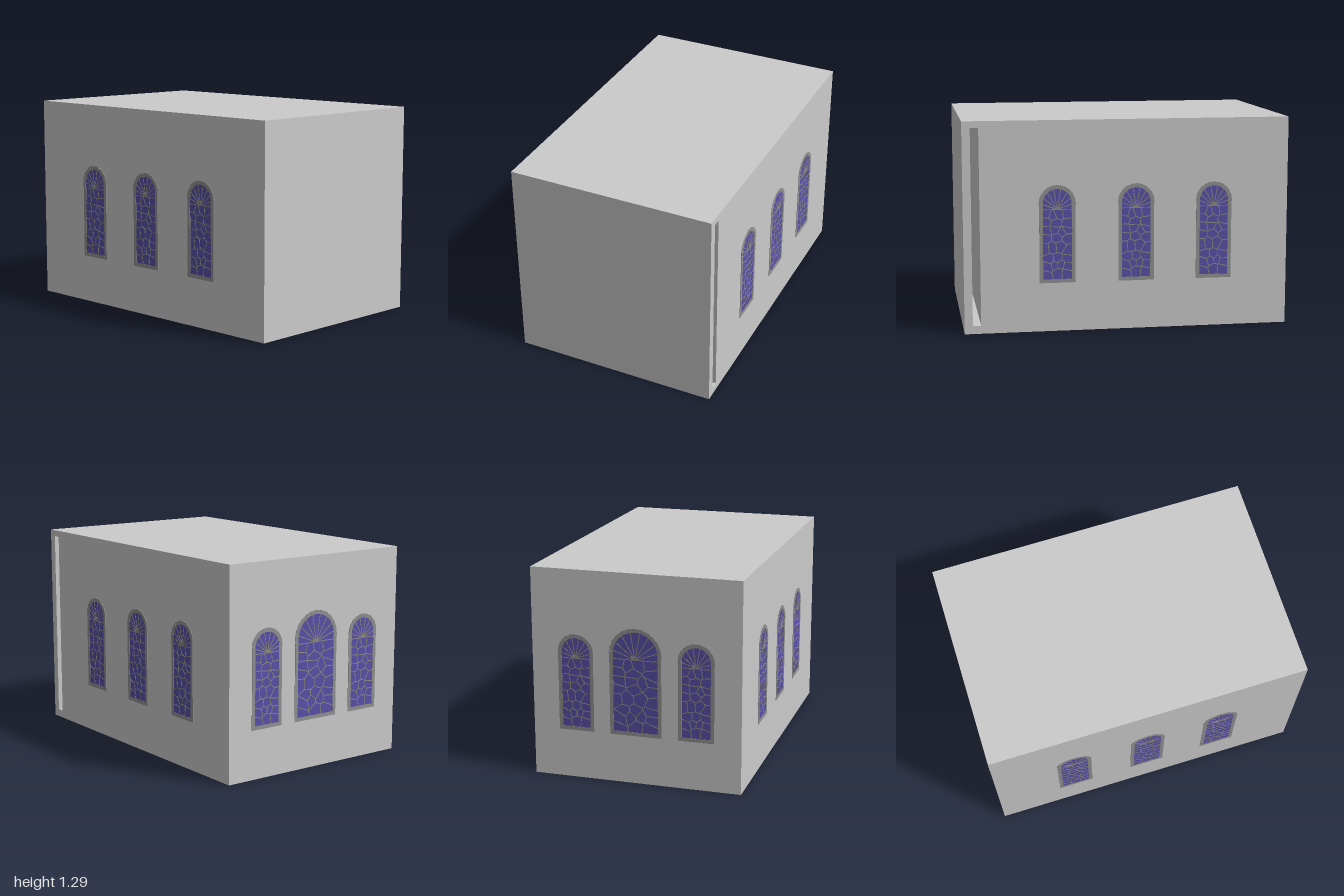
import * as THREE from 'three';

const H = 1.29, X = 0.646, BACK = -0.996, FRONT = 1;
const stone = new THREE.MeshStandardMaterial({ color: 0xcccccc });
const trim = new THREE.MeshStandardMaterial({ color: 0x929292 });
const lead = new THREE.MeshStandardMaterial({ color: 0x8e8e84 });
const glass = new THREE.MeshStandardMaterial({ color: 0x5a50a8 });

function add(parent, name, geometry, material, x = 0, y = 0, z = 0) {
  const mesh = new THREE.Mesh(geometry, material);
  mesh.name = name;
  mesh.position.set(x, y, z);
  parent.add(mesh);
  return mesh;
}

const toShape = pts => new THREE.Shape(pts.map(p => new THREE.Vector2(p[0], p[1])));
const extrude = (shape, depth) => new THREE.ExtrudeGeometry(shape, { depth, bevelEnabled: false });

// Round-headed outline: straight jambs up to the spring line, then a half circle
function archPoints(r, bottom, spring) {
  const pts = [[-r, bottom], [r, bottom]];
  for (let i = 0; i <= 20; i++) {
    const a = Math.PI * i / 20;
    pts.push([r * Math.cos(a), spring + r * Math.sin(a)]);
  }
  return pts;
}

// Keeps the part of a convex polygon where nx*x + ny*y <= d
function clip(poly, nx, ny, d) {
  const out = [];
  poly.forEach((p, i) => {
    const q = poly[(i + 1) % poly.length];
    const a = nx * p[0] + ny * p[1] - d, b = nx * q[0] + ny * q[1] - d;
    if (a <= 0) out.push(p);
    if (a * b < 0) {
      const t = a / (a - b);
      out.push([p[0] + t * (q[0] - p[0]), p[1] + t * (q[1] - p[1])]);
    }
  });
  return out;
}

// Irregular panes below the transom: cells around jittered, staggered points
function lowerPanes(r, bottom, top, bar) {
  let seed = 17;
  const rnd = () => (seed = (seed * 16807) % 2147483647) / 2147483647 - 0.5;
  const seeds = [], rows = 8;
  for (let j = 0; j < rows; j++) {
    const n = j % 2 ? 4 : 3;
    for (let i = 0; i < n; i++) {
      seeds.push([((i + 0.5 + rnd() * 0.55) / n * 2 - 1) * r,
        bottom + (j + 0.5 + rnd() * 0.6) / rows * (top - bottom)]);
    }
  }
  return seeds.map(s => {
    let cell = [[-r, bottom], [r, bottom], [r, top - bar], [-r, top - bar]];
    for (const o of seeds) {
      if (o === s) continue;
      const dx = o[0] - s[0], dy = o[1] - s[1], l = Math.hypot(dx, dy);
      const mid = (dx * (o[0] + s[0]) + dy * (o[1] + s[1])) / (2 * l);
      cell = clip(cell, dx / l, dy / l, mid - bar);
    }
    return cell;
  });
}

// Fan of wedge panes above the transom
function fanPanes(r, transom, spring, bar, count = 9) {
  const panes = [];
  for (let i = 0; i < count; i++) {
    const a = Math.PI * i / count, b = Math.PI * (i + 1) / count;
    let cell = archPoints(r, transom + bar, spring);
    const n1 = [Math.sin(a), -Math.cos(a)], n2 = [-Math.sin(b), Math.cos(b)];
    cell = clip(cell, n1[0], n1[1], n1[1] * transom - bar);
    cell = clip(cell, n2[0], n2[1], n2[1] * transom - bar);
    panes.push(cell);
  }
  return panes;
}

// Returns a builder, so all windows of one size share their geometry
function windowKit(R, spring, transom) {
  const bottom = 0.3, edge = 0.02, r = R - edge, bar = 0.0025, sill = bottom + edge;
  const inner = archPoints(r, sill, spring);
  const frameShape = toShape(archPoints(R, bottom, spring));
  frameShape.holes.push(toShape(inner));
  const frameGeo = extrude(frameShape, 0.0035);

  const leadShape = toShape(inner);
  const panes = [...lowerPanes(r - bar, sill + bar, transom, bar),
    ...fanPanes(r - bar, transom, spring, bar)];
  for (const p of panes) if (p.length > 2) leadShape.holes.push(toShape(p));
  const leadGeo = extrude(leadShape, 0.003);
  const glassGeo = extrude(toShape(inner), 0.0015);
  const blockGeo = new THREE.BoxGeometry(0.022, 0.021, 0.004);

  return name => {
    const g = new THREE.Group();
    g.name = name;
    add(g, 'windowFrame', frameGeo, trim);
    add(g, 'leadTracery', leadGeo, lead);
    add(g, 'glass', glassGeo, glass);
    // Separate stones around the arch
    const count = 13;
    for (let i = 0; i < count; i++) {
      const a = Math.PI * i / (count - 1), rr = R - 0.009;
      const b = add(g, 'archStone', blockGeo, trim,
        rr * Math.cos(a), spring + rr * Math.sin(a), 0.002);
      b.rotation.z = a;
    }
    return g;
  };
}

export function createModel() {
  const model = new THREE.Group();

  // Solid hall, split along its length around the narrow slot
  const block = (name, z0, z1) => add(model, name,
    new THREE.BoxGeometry(2 * X, H, z1 - z0), stone, 0, H / 2, (z0 + z1) / 2);
  block('hallBody', BACK, 0.9);
  block('frontWall', 0.95, FRONT);

  // Deep slot open on one side, with a slanted far top corner
  const slot = toShape([[-X, 0], [X, 0], [X, 0.05], [-0.6, 0.05], [-0.6, 1.06],
    [-0.41, 1.25], [X, 1.25], [X, H], [-X, H]]);
  add(model, 'slottedWall', extrude(slot, 0.05), stone, 0, 0, 0.9);

  const smallWindow = windowKit(0.11, 0.787, 0.75);
  const largeWindow = windowKit(0.16, 0.8, 0.77);
  const place = (w, x, z, turn) => {
    w.position.set(x, 0, z);
    w.rotation.y = turn;
    model.add(w);
  };

  // Three windows along each side wall
  for (const i of [-1, 0, 1]) {
    place(smallWindow('leftWindow'), X, -0.05 + i * 0.483, Math.PI / 2);
    place(smallWindow('rightWindow'), -X, i * 0.483, -Math.PI / 2);
  }

  // Tall middle window and its two flanking windows at the back
  place(largeWindow('backMiddleWindow'), 0, BACK, Math.PI);
  for (const s of [-1, 1]) place(smallWindow('backSideWindow'), s * 0.372, BACK, Math.PI);

  return model;
}
